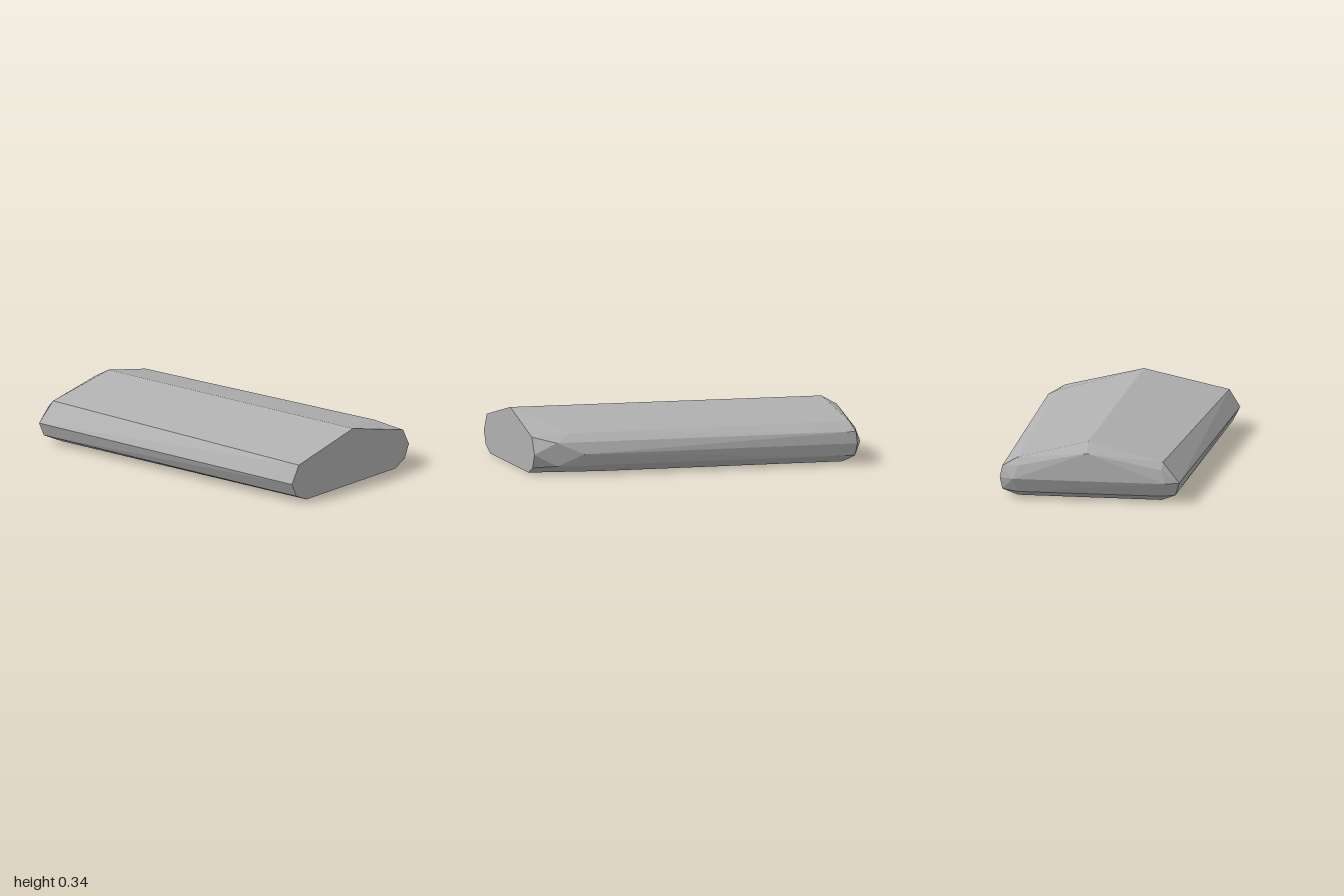
import * as THREE from 'three';
import { ConvexGeometry } from 'three/addons/geometries/ConvexGeometry.js';

// Faceted slab with a low ridge: flat cut at the front, chamfered at the back.
export function createModel() {
  const grey = new THREE.MeshStandardMaterial({ color: 0xb0b0b0 });
  grey.name = 'stone grey';

  // flat front cut, as [x, y] at z = 1
  const front = [
    [-0.577, 0.122], [-0.513, 0.226], [-0.005, 0.335], [0.465, 0.22], [0.52, 0.122],
    [0.48, 0.04], [0.39, 0], [-0.44, 0], [-0.535, 0.04],
  ].map(([x, y]) => [x, y, 1]);

  // right front corner, bevelled away from the cut
  const corner = [
    [0.478, 0.237, 0.77], [0.545, 0.19, 0.87], [0.575, 0.122, 0.71],
    [0.545, 0.052, 0.87], [0.475, 0.005, 0.57],
  ];

  // rim of the back end
  const rim = [
    [0.045, 0.338, -0.885], [0.46, 0.24, -0.94], [0.548, 0.19, -0.955], [0.562, 0.122, -0.96],
    [0.548, 0.05, -0.95], [0.46, 0.004, -0.9], [-0.39, 0, -0.89], [-0.48, 0.045, -0.95],
    [-0.506, 0.122, -0.965], [-0.405, 0.24, -0.94],
  ];

  // shallow faceted cap closing the back
  const cap = [
    [0.045, 0.285, -0.98], [0.48, 0.122, -1], [0.45, 0.04, -0.97],
    [-0.4, 0.04, -0.965], [-0.43, 0.122, -1], [0.45, 0.2, -0.978], [-0.4, 0.2, -0.978],
  ];

  const points = [...front, ...corner, ...rim, ...cap].map((p) => new THREE.Vector3(...p));
  const slab = new THREE.Mesh(new ConvexGeometry(points), grey);
  slab.name = 'slab';

  const group = new THREE.Group();
  group.name = 'facetedSlab';
  group.add(slab);
  return group;
}
